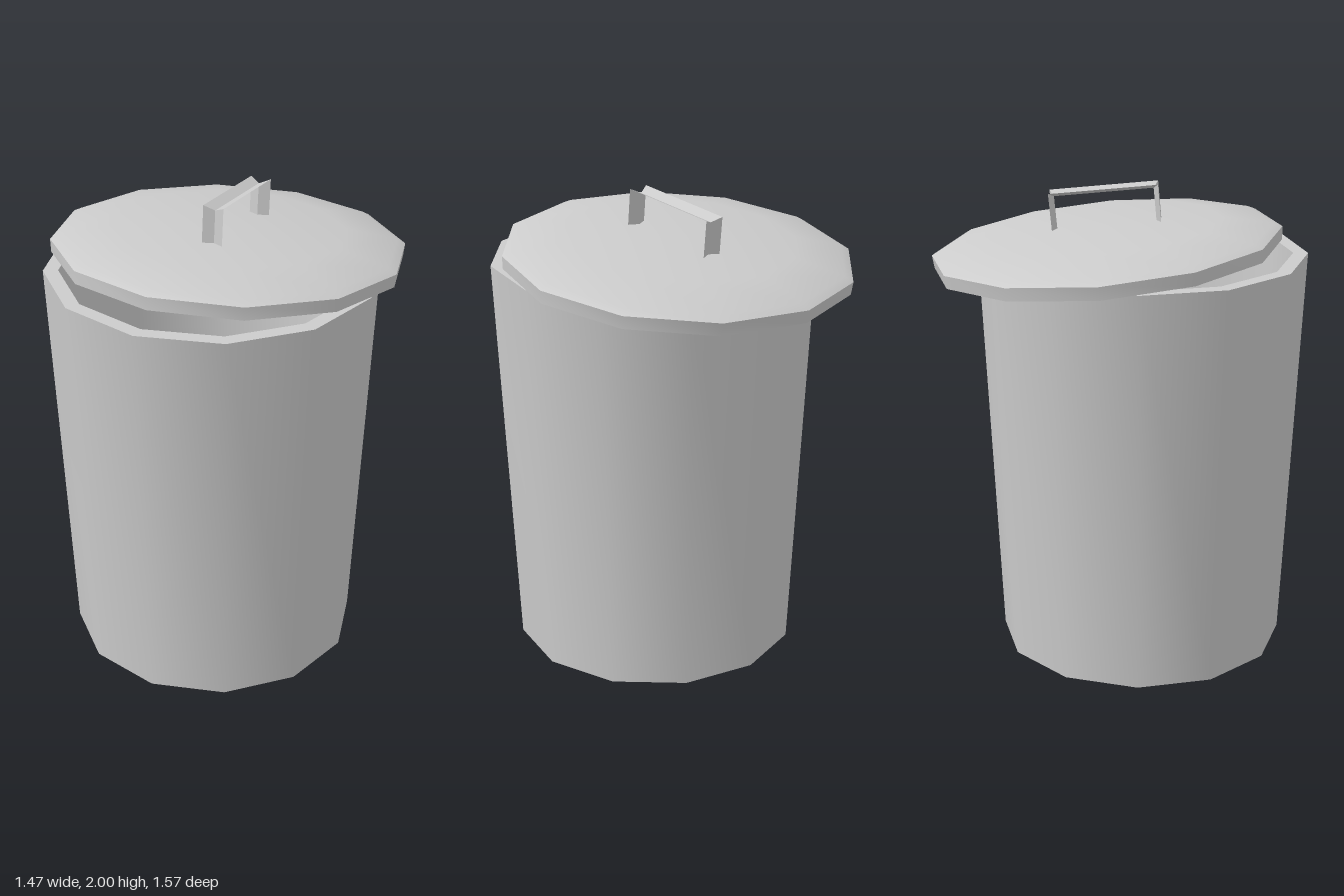
import * as THREE from 'three';
import { toCreasedNormals } from 'three/addons/utils/BufferGeometryUtils.js';

const SIDES = 12;
const grey = new THREE.MeshStandardMaterial({ color: 0xcccccc });
const thin = new THREE.MeshStandardMaterial({ color: 0xcccccc, side: THREE.DoubleSide });

// Twelve-sided turned shape: soft around the wall, sharp at the rims
function turned(name, profile) {
  const points = profile.map(([r, y]) => new THREE.Vector2(r, y));
  const geometry = toCreasedNormals(new THREE.LatheGeometry(points, SIDES), 0.7);
  const mesh = new THREE.Mesh(geometry, grey);
  mesh.name = name;
  return mesh;
}

// Thin strap with a V-shaped section, bent into a bridge
function makeHandle() {
  const front = 0.236, back = -0.22, top = 0.22, foot = -0.056, fold = 0.02;
  const bridge = (inset) => [
    [foot, front - inset], [top - inset, front - inset],
    [top - inset, back + inset], [foot, back + inset],
  ];
  const rails = [[-0.012, 0], [0.032, fold], [0.077, 0]]
    .map(([x, inset]) => bridge(inset).map(([y, z]) => [x, y, z]));
  const positions = [];
  for (let r = 0; r < 2; r++) {
    for (let i = 0; i < 3; i++) {
      const a = rails[r][i], b = rails[r + 1][i], c = rails[r + 1][i + 1], d = rails[r][i + 1];
      positions.push(...a, ...b, ...c, ...a, ...c, ...d);
    }
  }
  const geometry = new THREE.BufferGeometry();
  geometry.setAttribute('position', new THREE.Float32BufferAttribute(positions, 3));
  geometry.computeVertexNormals();
  const mesh = new THREE.Mesh(geometry, thin);
  mesh.name = 'lidHandle';
  return mesh;
}

export function createModel() {
  const model = new THREE.Group();
  model.name = 'trashCan';

  // Tapered hollow can with a flat rim
  const can = turned('can', [
    [0, 0], [0.61, 0], [0.69, 1.715], [0.628, 1.715], [0.555, 0.05], [0, 0.05],
  ]);
  can.position.z = 0.1;
  model.add(can);

  // Shallow domed lid with a skirt, hollow underneath, sitting askew
  const lid = new THREE.Group();
  lid.name = 'lid';
  lid.add(turned('lidShell', [
    [0, 0.03], [0.48, 0.025], [0.685, -0.02], [0.695, -0.055],
    [0.73, -0.055], [0.735, 0], [0.7, 0.018], [0.49, 0.06], [0, 0.066],
  ]));
  lid.add(makeHandle());
  lid.position.set(0, 1.76, -0.052);
  lid.rotation.x = -0.093;
  model.add(lid);

  return model;
}
